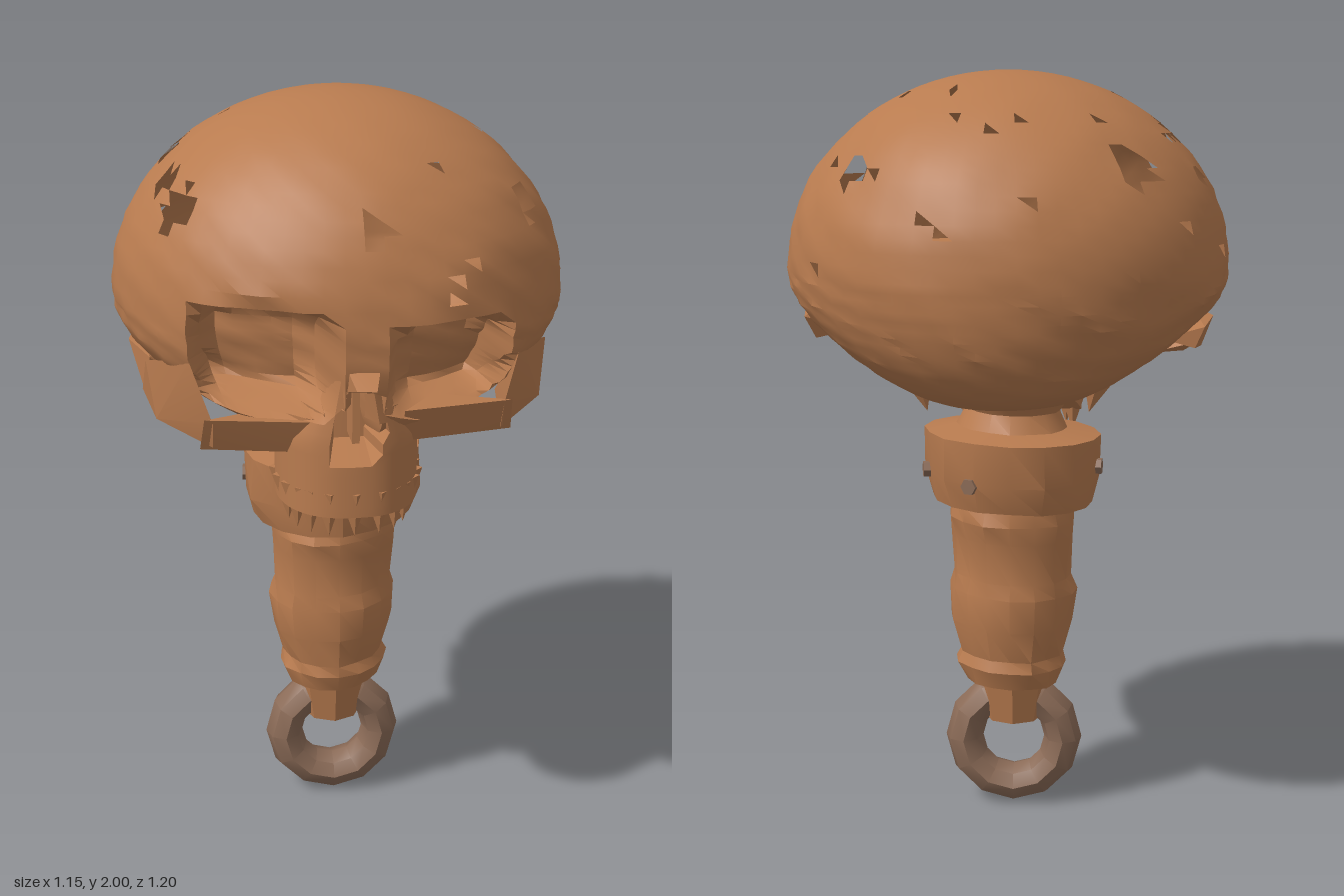
import * as THREE from 'three';
import { toCreasedNormals } from 'three/addons/utils/BufferGeometryUtils.js';
import { ConvexGeometry } from 'three/addons/geometries/ConvexGeometry.js';

const bone = new THREE.MeshStandardMaterial({ color: 0xb87b4f, side: THREE.DoubleSide });
bone.name = 'brownBone';
const metal = new THREE.MeshStandardMaterial({ color: 0x8b6b57, side: THREE.DoubleSide });
metal.name = 'dullRing';

// Continuous ripple, so seams stay closed
const ripple = (x, y, z) => Math.sin(x * 17 + y * 11) * Math.sin(y * 19 - z * 13) * Math.cos(z * 15 + x * 7);

function warp(geo, rule) {
  const p = geo.attributes.position;
  const v = new THREE.Vector3();
  for (let i = 0; i < p.count; i++) {
    v.fromBufferAttribute(p, i);
    rule(v);
    p.setXYZ(i, v.x, v.y, v.z);
  }
  return geo;
}

function part(group, name, geo, material = bone, crease = 0.5) {
  const mesh = new THREE.Mesh(toCreasedNormals(geo, crease), material);
  mesh.name = name;
  group.add(mesh);
  return mesh;
}

// Faceted solid around a few corner points
const hull = (points) => new ConvexGeometry(points.map((p) => new THREE.Vector3(...p)));

// Eye sockets and nasal opening pushed into the front
function carveFace(v) {
  if (v.z < 0.2) return;
  const { x, y } = v;
  for (const [cx, cy, rx, ry] of [[-0.225, 1.43, 0.165, 0.14], [0.215, 1.4, 0.15, 0.12]]) {
    const d = Math.pow(Math.abs((x - cx) / rx), 4) + Math.pow(Math.abs((y - cy) / ry), 4);
    if (d < 1) v.z -= 0.22 * Math.min(1, (1 - d) * 1.3);
  }
  const half = 0.07 * (1.4 - y) / 0.16;
  if (y > 1.21 && y < 1.39 && Math.abs(x + 0.015) < Math.min(half, 0.055)) v.z -= 0.14;
}

// Drops triangles near listed gaps, plus a few scattered chips
function breakShell(geo, gaps) {
  const flat = geo.toNonIndexed();
  const a = flat.attributes.position.array;
  const kept = [];
  let seed = 11;
  const rand = () => (seed = (seed * 16807) % 2147483647) / 2147483647;
  for (let i = 0; i < a.length; i += 9) {
    const c = [0, 1, 2].map((k) => (a[i + k] + a[i + 3 + k] + a[i + 6 + k]) / 3);
    const chip = rand() < 0.015 && c[1] > 1.5 && c[1] < 1.95;
    const gap = gaps.some(([x, y, z, r]) => Math.hypot(c[0] - x, c[1] - y, c[2] - z) < r);
    if (!chip && !gap) for (let k = 0; k < 9; k++) kept.push(a[i + k]);
  }
  const out = new THREE.BufferGeometry();
  out.setAttribute('position', new THREE.Float32BufferAttribute(kept, 3));
  return out;
}

export function createModel() {
  const model = new THREE.Group();
  model.name = 'skullOnHandle';

  // Cranium: round dome, deep at the front and back, hollowed base, broken shell
  const cranium = warp(new THREE.SphereGeometry(1, 72, 46), (v) => {
    const r = Math.hypot(v.x, v.z);
    const n = 1 + 0.012 * ripple(v.x, v.y, v.z);
    let spread = n, lift = 0;
    if (v.y < 0 && r > 1e-4) {
      const sideways = (v.x * v.x) / (r * r);
      spread = n * Math.pow(r, -0.68 + 0.34 * sideways);
      lift = -0.09 * v.y * sideways * sideways;
      if (v.z < 0) lift += 0.035 * v.y * (1 - sideways);
    }
    if (v.y < 0) lift += 0.16 * Math.max(0, 1 - r / 0.3);
    v.x *= 0.575 * spread;
    v.z *= (v.z > 0 ? 0.55 : 0.597) * spread;
    v.y = 1.5 + v.y * (v.y > 0 ? 0.5 : 0.3) + lift;
    carveFace(v);
  });
  part(model, 'cranium', breakShell(cranium, [
    [-0.31, 1.76, -0.38, 0.06], [0.35, 1.74, -0.35, 0.05], [0.38, 1.86, -0.05, 0.05],
    [-0.41, 1.84, -0.05, 0.05], [-0.4, 1.74, 0.25, 0.06], [0.4, 1.75, 0.23, 0.05],
    [0.03, 1.74, 0.48, 0.04], [-0.44, 1.81, 0.15, 0.04], [-0.5, 1.75, -0.15, 0.04],
  ]));

  // Upper jaw with the nasal opening
  const jaw = warp(new THREE.CylinderGeometry(1, 1, 1, 44, 14), (v) => {
    const t = v.y + 0.5;
    const w = t < 0.5 ? 0.175 : 0.175 - (t - 0.5) * 0.17;
    const c = v.x, s = v.z;
    v.x = -0.02 + w * Math.sign(c) * Math.pow(Math.abs(c), 0.8);
    v.z = 0.32 + 0.2 * s;
    v.y = 1.06 + 0.36 * t + (1 - t) * 0.5 * Math.max(0, 0.3 - v.z);
    carveFace(v);
  });
  part(model, 'upperJaw', jaw);

  // Teeth around the front arc
  for (let i = 0; i < 11; i++) {
    const a = (i / 10 - 0.5) * 3.3;
    const tooth = new THREE.ConeGeometry(0.04, 0.12, 4).rotateX(Math.PI);
    const s = Math.sin(a);
    tooth.translate(-0.02 + 0.15 * Math.sign(s) * Math.pow(Math.abs(s), 0.8), 1.06, 0.32 + 0.17 * Math.cos(a));
    part(model, 'tooth', tooth, bone, 0.2);
  }

  // Nasal bridge and septum
  part(model, 'nasalBridge', hull([
    [-0.06, 1.47, 0.47], [0.05, 1.47, 0.47], [-0.03, 1.4, 0.59], [0.015, 1.4, 0.6], [-0.06, 1.36, 0.47], [0.04, 1.36, 0.47],
  ]), bone, 0.2);
  part(model, 'nasalSeptum', new THREE.BoxGeometry(0.018, 0.16, 0.1).translate(-0.015, 1.31, 0.42));

  for (const side of [-1, 1]) {
    const drop = side < 0 ? 0.02 : 0;
    const sided = (points) => hull(points.map(([x, y, z]) => [x * side, y - drop, z]));

    // Lower rim of the eye socket
    part(model, 'socketFloor', sided([
      [0.1, 1.22, 0.44], [0.1, 1.31, 0.48], [0.38, 1.22, 0.38], [0.37, 1.31, 0.43], [0.12, 1.22, 0.28], [0.36, 1.22, 0.28], [0.2, 1.29, 0.3],
    ]), bone, 0.3);

    // Cheekbone at the outer corner
    part(model, 'cheekbone', sided([
      [0.35, 1.23, 0.4], [0.35, 1.3, 0.43], [0.48, 1.26, 0.26], [0.4, 1.44, 0.38], [0.5, 1.4, 0.22], [0.51, 1.3, 0.14], [0.38, 1.26, 0.2],
    ]), bone, 0.3);

    // Thin arch back to the temple
    part(model, 'cheekArch', sided([
      [0.49, 1.4, 0.2], [0.5, 1.29, 0.18], [0.42, 1.33, 0.17], [0.54, 1.39, 0], [0.51, 1.31, 0], [0.5, 1.39, -0.25], [0.48, 1.33, -0.2], [0.4, 1.34, -0.1],
    ]), bone, 0.3);

    // Bony points beneath the ears
    const spur = new THREE.ConeGeometry(0.09, 0.2, 5).rotateX(Math.PI);
    part(model, 'earSpur', spur.rotateZ(-side * 0.25).translate(side * 0.24, 1.21, -0.03), bone, 0.2);
  }

  // Handle: flared neck, wide collar and worn shaft
  const profile = [
    [0, 0.37], [0.13, 0.37], [0.15, 0.42], [0.14, 0.45], [0.165, 0.54], [0.17, 0.63], [0.16, 0.67], [0.165, 0.78],
    [0.175, 0.83], [0.165, 0.87], [0.215, 0.875], [0.235, 0.95], [0.235, 1.06], [0.15, 1.075], [0.125, 1.12], [0.17, 1.19], [0.26, 1.28],
  ].map(([r, y]) => new THREE.Vector2(r, y));
  const handle = warp(new THREE.LatheGeometry(profile, 16), (v) => {
    const n = 1 + 0.06 * ripple(v.x * 3, v.y * 1.5, v.z * 3);
    v.x = v.x * n - 0.012;
    v.z = v.z * n - 0.01;
    v.y += 0.04 * v.x;
  });
  part(model, 'handle', handle);

  // Small studs set into the collar: angle around y from +x, height
  for (const [angle, y] of [[0.2, 0.96], [1.12, 0.95], [3, 0.97]]) {
    const stud = new THREE.CylinderGeometry(0.022, 0.022, 0.04, 6).rotateZ(Math.PI / 2);
    part(model, 'collarStud', stud.translate(0.222, y, 0).rotateY(angle).translate(-0.012, 0, -0.01), metal);
  }

  // Stub holding the ring
  part(model, 'ringStub', new THREE.CylinderGeometry(0.105, 0.08, 0.13, 8).translate(-0.015, 0.315, 0), bone, 0.3);

  // Hanging ring
  const ring = new THREE.TorusGeometry(0.137, 0.052, 8, 12).scale(1, 1, 1.2).translate(-0.015, 0.189, 0);
  part(model, 'hangingRing', ring, metal, 0.8);

  return model;
}
